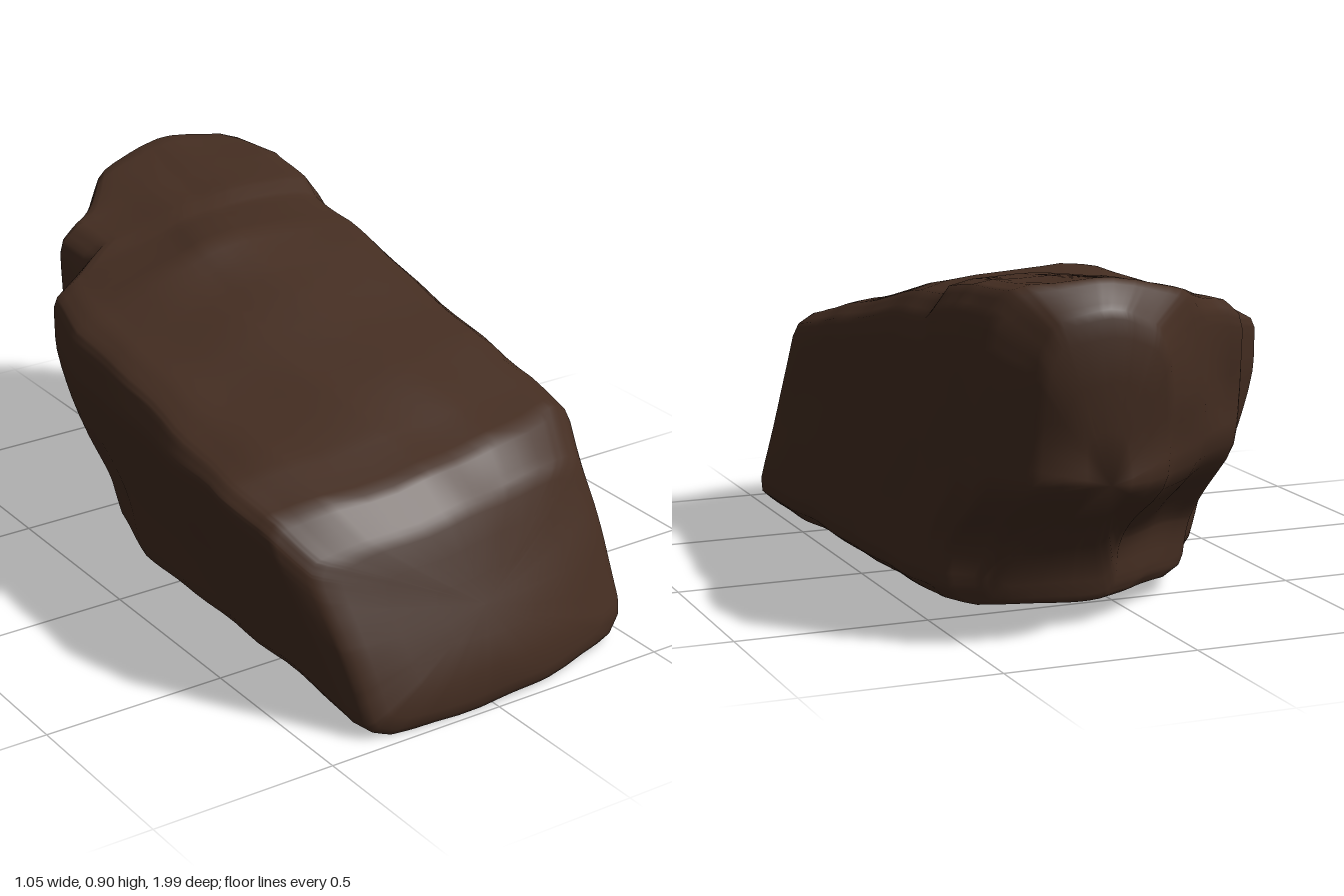
import * as THREE from 'three';
import { mergeVertices } from 'three/addons/utils/BufferGeometryUtils.js';

// Cross-sections from front to back:
// z at base, z shift at top, base y, left x (base, middle, shoulder), shoulder y,
// ridge x, ridge y, right shoulder x, right shoulder y, right base x
const STATIONS = [
  [0.985, -0.29, 0.005, -0.36, -0.44, -0.41, 0.45, 0.05, 0.50, 0.43, 0.50, 0.50],
  [0.93, -0.28, 0.005, -0.38, -0.51, -0.47, 0.53, 0.05, 0.58, 0.46, 0.60, 0.53],
  [0.75, -0.26, 0.01, -0.37, -0.54, -0.49, 0.57, 0.05, 0.63, 0.47, 0.64, 0.53],
  [0.42, -0.21, 0.02, -0.37, -0.52, -0.48, 0.61, 0.00, 0.70, 0.47, 0.69, 0.52],
  [0.10, -0.20, 0.02, -0.36, -0.48, -0.47, 0.66, 0.00, 0.78, 0.48, 0.76, 0.51],
  [-0.10, -0.19, 0.02, -0.35, -0.47, -0.46, 0.68, 0.00, 0.85, 0.49, 0.80, 0.51],
  [-0.28, -0.18, 0.03, -0.31, -0.43, -0.42, 0.71, 0.04, 0.84, 0.50, 0.82, 0.50],
  [-0.36, -0.18, 0.035, -0.27, -0.30, -0.26, 0.77, 0.09, 0.86, 0.51, 0.85, 0.50],
  [-0.52, -0.19, 0.05, -0.18, -0.27, -0.26, 0.78, 0.11, 0.88, 0.52, 0.88, 0.50],
  [-0.66, -0.25, 0.06, -0.02, -0.11, -0.07, 0.83, 0.14, 0.90, 0.48, 0.89, 0.48],
  [-0.70, -0.28, 0.07, 0.08, 0.03, 0.07, 0.77, 0.20, 0.84, 0.39, 0.80, 0.42],
];

const mix = THREE.MathUtils.lerp;
const clamp = THREE.MathUtils.clamp;
const smooth = THREE.MathUtils.smoothstep;

// Closed outline with worn corners
function outline(s) {
  const [, , yb, lb, lm, lt, ly, px, py, rx, ry, rb] = s;
  const my = Math.min(0.53, ly - 0.05);
  let pts = [
    [lb, yb], [mix(lb, lm, 0.35), mix(yb, my, 0.42)], [lm, my], [lt, ly], [px, py],
    [rx, ry], [mix(rb, rx, 0.4), 0.33], [rb, yb], [(lb + rb) / 2, yb],
  ];
  for (let round = 0; round < 2; round++) {
    pts = pts.flatMap((p, i) => {
      const q = pts[(i + 1) % pts.length];
      return [0.16, 0.84].map((t) => [mix(p[0], q[0], t), mix(p[1], q[1], t)]);
    });
  }
  return pts.flatMap((p, i) => {
    const q = pts[(i + 1) % pts.length];
    return [0, 1 / 3, 2 / 3].map((t) => [mix(p[0], q[0], t), mix(p[1], q[1], t)]);
  });
}

// Shallow lumps in the stone
const lump = (a, b, c) =>
  0.006 * Math.sin(9 * a + 5 * b + 1) * Math.cos(8 * c - 4 * a) + 0.003 * Math.sin(23 * b + 17 * c);

// Place one outline in space: sloping front, undercut and rounded back
function placeRing(s, scale, push) {
  const pts = outline(s);
  const cx = pts.reduce((a, p) => a + p[0], 0) / pts.length;
  const cy = pts.reduce((a, p) => a + p[1], 0) / pts.length;
  const undercut = clamp((0.2 - s[0]) / 0.6, 0, 1);
  const frontBow = 0.4 * clamp(s[0], 0, 1);
  const backBow = 1.2 * clamp((-0.5 - s[0]) / 0.2, 0, 1);
  return pts.map((p) => {
    const x = mix(cx, p[0], scale);
    const y = mix(cy, p[1], scale);
    const slope = Math.max(0, y - 0.07) / 0.83;
    const overhang = 0.9 * smooth(y, 0.17, 0.43) + 0.1 * smooth(y, 0.48, 0.72);
    const z = s[0] + s[1] * mix(slope, overhang, undercut) + push
      - frontBow * (x + 0.06) ** 2 + backBow * (x - 0.2) ** 2;
    return [x + lump(y, z, x), y + lump(z, x, y), z + lump(x, y, z)];
  });
}

function rockGeometry() {
  const rings = [];
  const first = STATIONS[0];
  const last = STATIONS[STATIONS.length - 1];
  const caps = [[0, 0.02], [0.3, 0.02], [0.6, 0.018], [0.85, 0.013], [0.95, 0.008]];

  // Front end, body, back end
  caps.forEach(([k, push]) => rings.push(placeRing(first, k, push)));
  const steps = 5;
  for (let i = 0; i < STATIONS.length - 1; i++) {
    for (let k = 0; k < steps; k++) {
      const s = STATIONS[i].map((v, j) => mix(v, STATIONS[i + 1][j], k / steps));
      rings.push(placeRing(s, 1, 0));
    }
  }
  rings.push(placeRing(last, 1, 0));
  [...caps].reverse().forEach(([k, push]) => rings.push(placeRing(last, k, -push)));

  // Join neighbouring rings; the first and last are single points
  const n = rings[0].length;
  const index = [];
  for (let i = 0; i < rings.length - 1; i++) {
    for (let j = 0; j < n; j++) {
      const a = i * n + j;
      const b = i * n + ((j + 1) % n);
      if (i > 0) index.push(a, b, a + n);
      if (i < rings.length - 2) index.push(b, b + n, a + n);
    }
  }
  const geo = new THREE.BufferGeometry();
  geo.setAttribute('position', new THREE.Float32BufferAttribute(rings.flat(2), 3));
  geo.setIndex(index);
  const welded = mergeVertices(geo, 1e-5);
  welded.computeVertexNormals();
  return welded;
}

export function createModel() {
  const group = new THREE.Group();
  group.name = 'rock';
  const brownStone = new THREE.MeshStandardMaterial({ color: 0x442d21 });
  brownStone.name = 'brownStone';
  const boulder = new THREE.Mesh(rockGeometry(), brownStone);
  boulder.name = 'boulder';
  group.add(boulder);
  return group;
}
